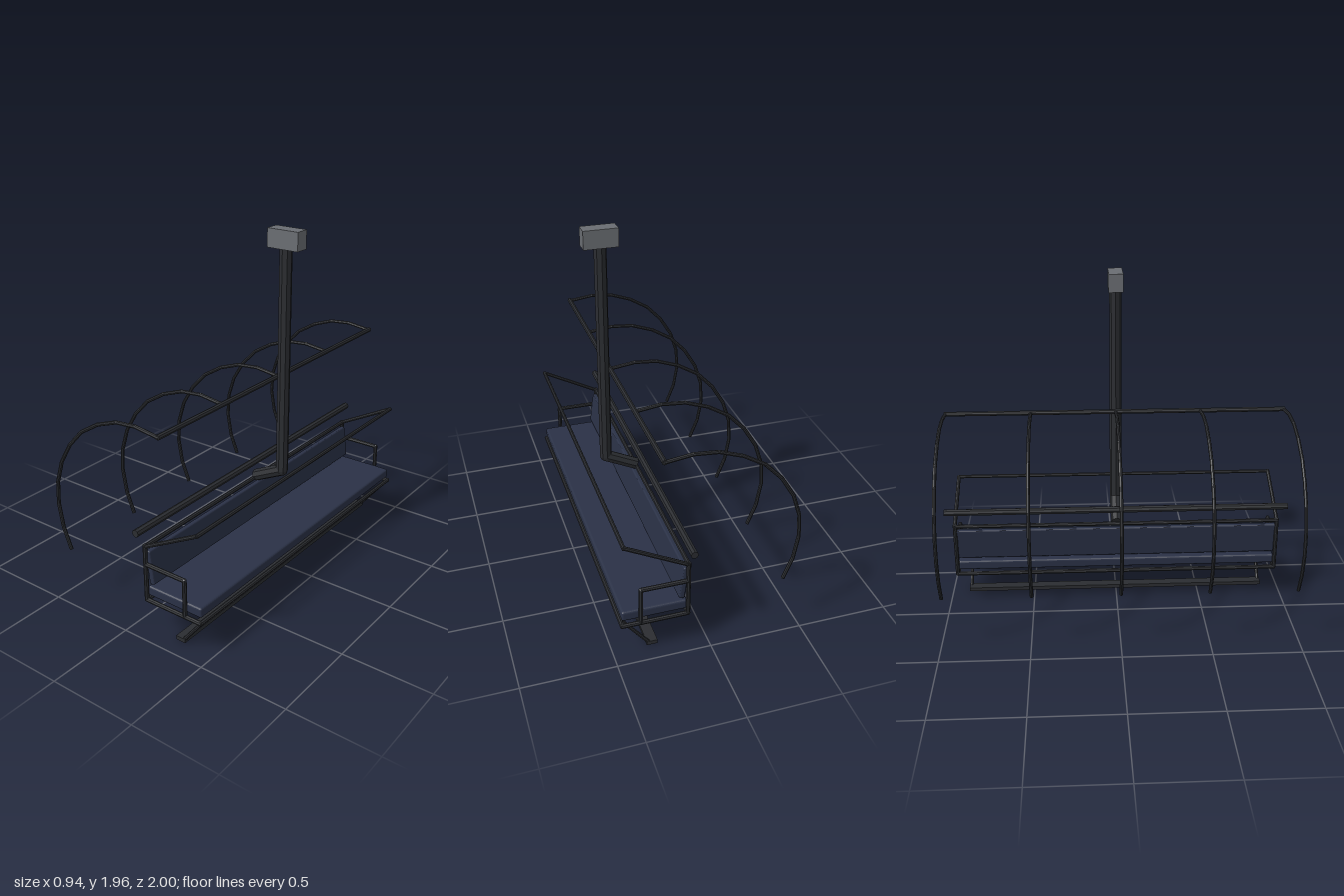
import * as THREE from 'three';
import { RoundedBoxGeometry } from 'three/addons/geometries/RoundedBoxGeometry.js';

const mat = (color) => new THREE.MeshStandardMaterial({ color, flatShading: true });
const steel = mat(0x2b2d31);
const padding = mat(0x2a3146);
const clampGrey = mat(0x6a6d72);

export function createModel() {
  const model = new THREE.Group();
  model.name = 'chairlift';

  const add = (name, geometry, material, x, y, z, parent = model) => {
    const mesh = new THREE.Mesh(geometry, material);
    mesh.name = name;
    mesh.position.set(x, y, z);
    parent.add(mesh);
    return mesh;
  };

  // straight round bar between two points
  const rod = (name, a, b, r, parent = model) => {
    const from = new THREE.Vector3(...a), to = new THREE.Vector3(...b);
    const dir = to.clone().sub(from);
    const mid = from.clone().add(to).multiplyScalar(0.5);
    const mesh = add(name, new THREE.CylinderGeometry(r, r, dir.length(), 8), steel, mid.x, mid.y, mid.z, parent);
    mesh.quaternion.setFromUnitVectors(new THREE.Vector3(0, 1, 0), dir.normalize());
    return mesh;
  };

  // chain of bars through [x, y] points in one z plane, with rounded joints
  const bentRod = (name, points, z, r) => {
    const group = new THREE.Group();
    group.name = name;
    points.slice(1).forEach(([x, y], i) => {
      rod(name + 'Segment', [...points[i], z], [x, y, z], r, group);
      if (i < points.length - 2) add(name + 'Joint', new THREE.SphereGeometry(r, 8, 6), steel, x, y, z, group);
    });
    model.add(group);
  };

  // bar running the width of the bench
  const crossBar = (name, x, y, half, r) => rod(name, [x, y, -half], [x, y, half], r);

  // cable grip, hanger mast and its angled foot
  add('cableGrip', new THREE.BoxGeometry(0.185, 0.1, 0.08), clampGrey, 0.288, 1.91, 0);
  bentRod('hanger', [[0.285, 1.87], [0.285, 0.61], [0.11, 0.525]], 0, 0.034);

  // canopy hoops and the rail that carries them
  const hoop = [[0.255, 1.157], [0.11, 1.176], [-0.015, 1.165], [-0.14, 1.12], [-0.255, 1.05],
    [-0.345, 0.955], [-0.415, 0.84], [-0.455, 0.715], [-0.463, 0.585], [-0.44, 0.45], [-0.392, 0.33]];
  for (let i = -2; i <= 2; i++) bentRod('canopyHoop', hoop, i * 0.487, 0.01);
  crossBar('canopyRail', 0.25, 1.16, 0.98, 0.014);

  // main rail behind the bench
  crossBar('pivotRail', 0.1, 0.61, 1, 0.02);

  // seat and leaning backrest
  add('seat', new RoundedBoxGeometry(0.345, 0.056, 1.88, 2, 0.012), padding, 0.285, 0.257, 0);
  const back = add('backrest', new RoundedBoxGeometry(0.03, 0.19, 1.88, 2, 0.008), padding, 0.13, 0.395, 0);
  back.rotation.z = 0.13;

  // bench frame cross bars
  crossBar('rearLowerBar', 0.11, 0.205, 0.95, 0.012);
  crossBar('rearUpperBar', 0.11, 0.515, 0.95, 0.012);
  crossBar('frontLowerBar', 0.457, 0.205, 0.95, 0.012);
  crossBar('restraintBar', 0.443, 0.69, 0.95, 0.011);

  for (const side of [-1, 1]) {
    const z = side * 0.945;
    // side frame and armrest
    bentRod('sideFrame', [[0.11, 0.525], [0.11, 0.205], [0.465, 0.205]], z, 0.012);
    bentRod('armrest', [[0.11, 0.413], [0.36, 0.413], [0.36, 0.205]], z, 0.012);
    // restraint arm and footrest strut
    rod('restraintArm', [0.105, 0.512, z], [0.445, 0.692, z], 0.011);
    rod('footrestStrut', [0.457, 0.205, side * 0.89], [0.305, 0.015, side * 0.89], 0.01);
  }

  // footrest
  add('footrest', new THREE.BoxGeometry(0.058, 0.022, 1.8), steel, 0.287, 0.011, 0);

  return model;
}
